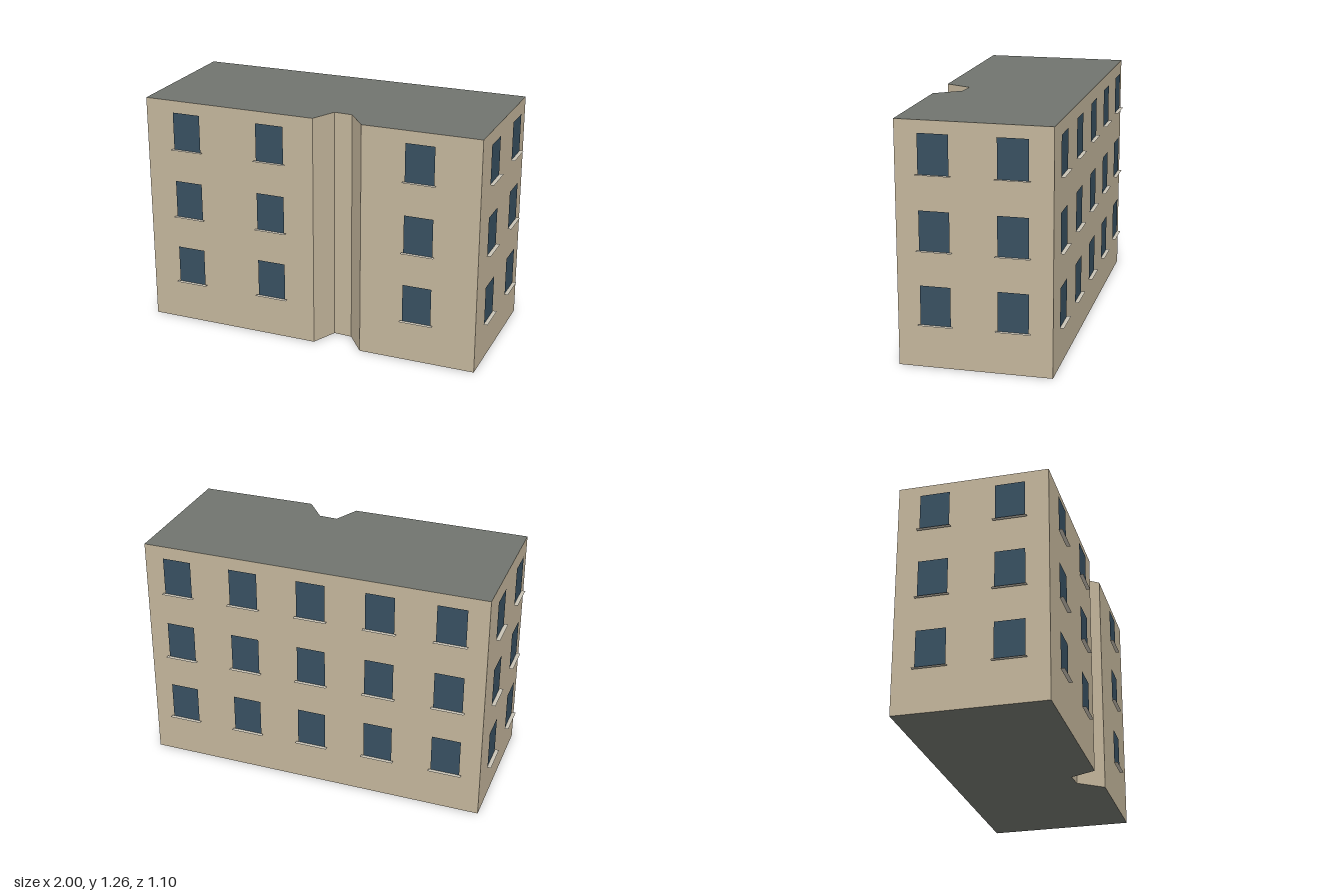
import * as THREE from 'three';

const HEIGHT = 1.265, FLOORS = 3, FLOOR_PITCH = 0.385;
const WINDOW = { width: 0.156, height: 0.205, bottom: 0.228, offset: 0.011 };
const SILL = { width: 0.178, depth: 0.021 };

// Footprint corners [x, z] running anticlockwise seen from above,
// each with the number of window columns on the wall that starts there
const WALLS = [
  [-0.855, 0.542, 2],
  [0.097, 0.387, 0],
  [0.137, 0.24, 0],
  [0.237, 0.23, 0],
  [0.36, 0.346, 1],
  [0.985, 0.243, 2],
  [0.855, -0.536, 5],
  [-0.99, -0.235, 2],
];

const mat = (color, side = THREE.FrontSide) =>
  new THREE.MeshStandardMaterial({ color, side, flatShading: true });

export function createModel() {
  const group = new THREE.Group();
  group.name = 'apartmentBlock';

  const wallMat = mat(0xc4b69c);
  const roofMat = mat(0x70746e);
  const glassMat = mat(0x385061, THREE.DoubleSide);
  const sillMat = mat(0xc8c2b4, THREE.DoubleSide);

  // Body: extruded footprint, caps are roof and underside
  const shape = new THREE.Shape(WALLS.map(([x, z]) => new THREE.Vector2(x, -z)));
  const bodyGeo = new THREE.ExtrudeGeometry(shape, { depth: HEIGHT, bevelEnabled: false });
  bodyGeo.rotateX(-Math.PI / 2);
  const body = new THREE.Mesh(bodyGeo, [roofMat, wallMat]);
  body.name = 'wallsAndRoof';
  group.add(body);

  // Flat panes and flat sills, standing just off the wall
  const paneGeo = new THREE.PlaneGeometry(WINDOW.width, WINDOW.height);
  paneGeo.translate(0, WINDOW.height / 2, 0);
  const sillGeo = new THREE.PlaneGeometry(SILL.width, SILL.depth);
  sillGeo.rotateX(-Math.PI / 2).translate(0, 0, SILL.depth / 2);

  const makeWindow = () => {
    const unit = new THREE.Group();
    unit.name = 'window';
    const pane = new THREE.Mesh(paneGeo, glassMat);
    pane.name = 'windowPane';
    const sill = new THREE.Mesh(sillGeo, sillMat);
    sill.name = 'windowSill';
    unit.add(pane, sill);
    return unit;
  };

  // Evenly spaced window columns on each wall, repeated on every floor
  WALLS.forEach(([x0, z0, columns], i) => {
    const [x1, z1] = WALLS[(i + 1) % WALLS.length];
    const dx = x1 - x0, dz = z1 - z0, length = Math.hypot(dx, dz);
    const nx = -dz / length, nz = dx / length;
    for (let c = 0; c < columns; c++) {
      const t = (c + 0.5) / columns;
      for (let f = 0; f < FLOORS; f++) {
        const unit = makeWindow();
        unit.position.set(
          x0 + dx * t + nx * WINDOW.offset,
          WINDOW.bottom + f * FLOOR_PITCH,
          z0 + dz * t + nz * WINDOW.offset
        );
        unit.rotation.y = Math.atan2(nx, nz);
        group.add(unit);
      }
    }
  });

  return group;
}
